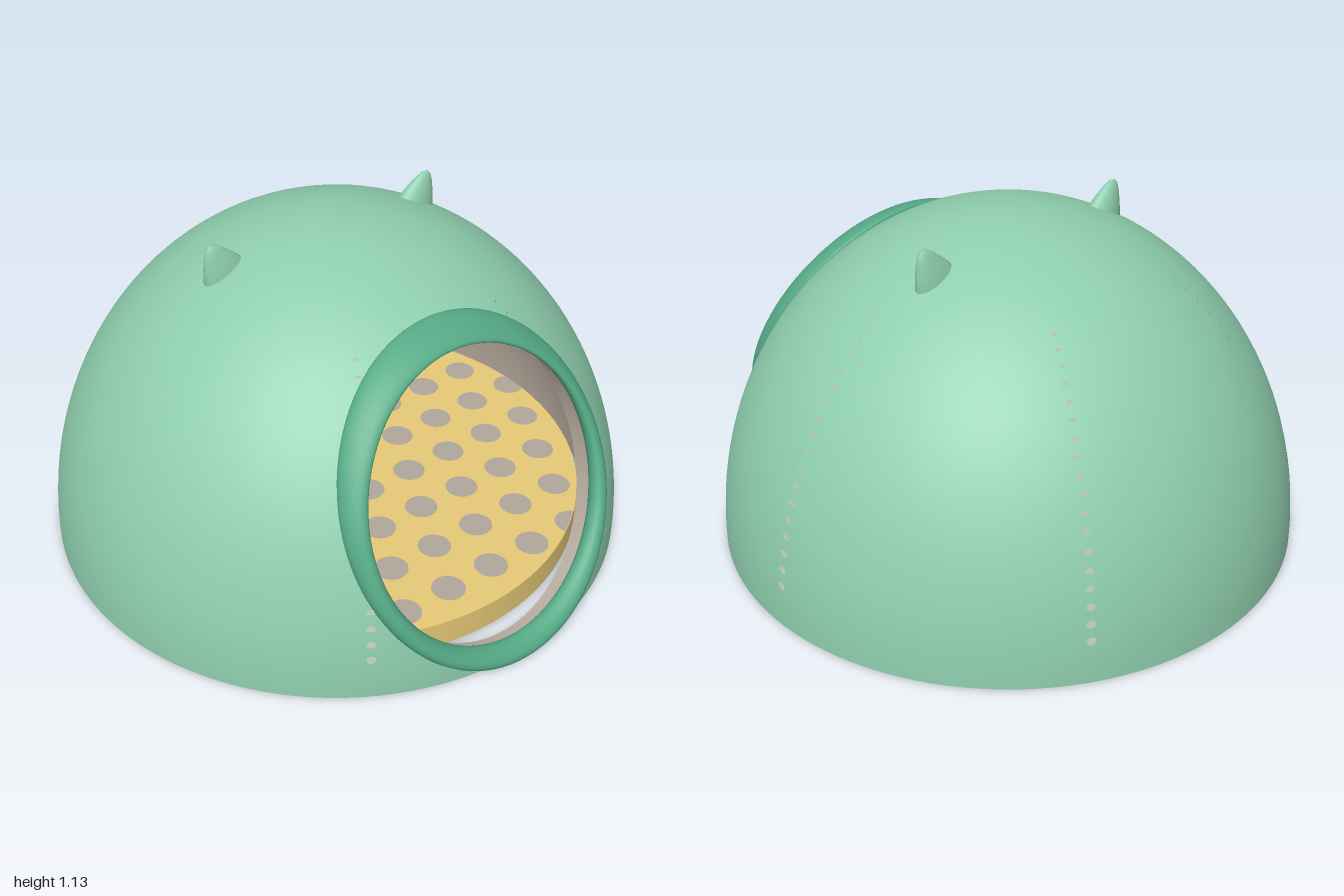
import * as THREE from 'three';

const mat = (name, color) =>
  Object.assign(new THREE.MeshStandardMaterial({ color }), { name });

const CZ = -0.018;                         // dome centre in z
const HOLE_Y = 0.496, HOLE_R = 0.466;      // round doorway
const OUTER = { r: 0.982, h: 1.12 }, INNER = { r: 0.904, h: 1.042 };
const SEG = 160, ROWS = 40;

// Skin between successive closed loops of points
function loft(loops, closed = false) {
  const n = loops[0].length, index = [];
  const last = closed ? loops.length : loops.length - 1;
  for (let i = 0; i < last; i++) {
    const k = (i + 1) % loops.length;
    for (let a = 0; a < n; a++) {
      const b = (a + 1) % n;
      index.push(i * n + a, k * n + a, k * n + b, i * n + a, k * n + b, i * n + b);
    }
  }
  const g = new THREE.BufferGeometry().setFromPoints(loops.flat());
  g.setIndex(index);
  g.computeVertexNormals();
  return g;
}

// Half-ellipsoid point from flattened disc coordinates (apex at 0, base at 1)
function onDome({ r, h }, u, v) {
  const d = Math.min(1, Math.hypot(u, v)), t = d * Math.PI / 2;
  const s = d > 1e-6 ? Math.sin(t) / d : Math.PI / 2;
  return new THREE.Vector3(r * u * s, h * Math.cos(t), CZ + r * v * s);
}

// Loops spreading from the doorway edge to the base edge of a dome
function domeLoops(e) {
  const flatten = (x, y) => {
    const t = Math.acos(y / e.h), sx = x / e.r;
    const sz = Math.sqrt(Math.max(0, Math.sin(t) ** 2 - sx * sx));
    const k = t / (Math.PI / 2) / Math.sin(t);
    return [sx * k, sz * k];
  };
  const [, cv] = flatten(0, HOLE_Y);
  const loops = Array.from({ length: ROWS + 1 }, () => []);
  for (let a = 0; a < SEG; a++) {
    const ang = a / SEG * Math.PI * 2;
    const [u, v] = flatten(HOLE_R * Math.cos(ang), HOLE_Y + HOLE_R * Math.sin(ang));
    const len = Math.hypot(u, v - cv), du = u / len, dv = (v - cv) / len;
    const reach = -cv * dv + Math.sqrt(cv * cv * dv * dv + 1 - cv * cv);
    for (let j = 0; j <= ROWS; j++) {
      const d = len + (reach - len) * j / ROWS;
      loops[j].push(onDome(e, du * d, cv + dv * d));
    }
  }
  return loops;
}

// Padded trim: oval tube on a leaning circle, its section slanting back to hug the dome at the top
function trimLoops() {
  const loops = [], sides = 20;
  for (let i = 0; i < sides; i++) {
    const p = i / sides * Math.PI * 2, dr = 0.031 * Math.sin(p), r = HOLE_R + dr;
    loops.push(Array.from({ length: 96 }, (_, a) => {
      const ang = a / 96 * Math.PI * 2, s = Math.sin(ang);
      return new THREE.Vector3(r * Math.cos(ang), HOLE_Y + r * s,
        0.738 - 0.483 * HOLE_R * s - dr * (0.55 + 1.05 * s) + (0.037 + 0.003 * s) * Math.cos(p));
    }));
  }
  return loops;
}

export function createModel() {
  const model = new THREE.Group();
  const green = mat('soft green', 0x8fceae);
  const darkGreen = mat('trim green', 0x55aa86);
  const taupe = mat('taupe lining', 0xb5a99c);
  const sand = mat('sand cushion', 0xeacd7a);
  const grey = mat('grey spots', 0xb0a79c);
  const underGrey = mat('warm grey underside spots', 0xbdb29c);
  const rimGreen = mat('pale green rim', 0xb8d8c8);
  const cream = mat('pale stitching', 0xd2dccb);
  const add = (parent, name, geometry, material) => {
    const m = new THREE.Mesh(geometry, material);
    m.name = name;
    parent.add(m);
    return m;
  };

  // Hollow dome with doorway
  const outer = domeLoops(OUTER), inner = domeLoops(INNER);
  add(model, 'domeShell', loft(outer), green);
  add(model, 'domeLining', loft([...inner].reverse()), taupe);
  add(model, 'baseRim', loft([outer[ROWS], inner[ROWS]]), rimGreen);
  add(model, 'doorwayWall', loft([inner[0], outer[0]]), taupe);
  add(model, 'doorwayTrim', loft(trimLoops(), true), darkGreen);

  // Ears: flattened round-tipped cones leaning outward
  const earProfile = [[0.083, -0.04], [0.075, 0], [0.055, 0.045], [0.034, 0.083], [0.018, 0.106], [0, 0.114]]
    .map(([x, y]) => new THREE.Vector2(x, y));
  for (const side of [1, -1]) {
    const ear = add(model, side > 0 ? 'leftEar' : 'rightEar', new THREE.LatheGeometry(earProfile, 32), green);
    ear.position.set(side * 0.381, 1.02, -0.086);
    ear.rotation.z = -side * 0.42;
    ear.scale.z = 0.55;
  }

  // Cushion with staggered spots on both faces
  const R = 0.85, LOW = 0.022, HIGH = 0.115;
  const cushion = new THREE.Group();
  cushion.name = 'cushion';
  cushion.position.z = CZ;
  model.add(cushion);
  add(cushion, 'cushionBody', new THREE.CylinderGeometry(R, R, HIGH - LOW, 96), sand)
    .position.y = (HIGH + LOW) / 2;
  for (let row = -5; row <= 4; row++) {
    for (let col = -5; col <= 5; col++) {
      const x = 0.008 + (col + (row % 2 ? 0 : 0.5)) * 0.18, z = row * 0.18;
      if (Math.hypot(x, z) > R + 0.02) continue;
      // spots are trimmed at the cushion edge
      const pts = Array.from({ length: 20 }, (_, i) => {
        const a = i / 20 * Math.PI * 2;
        return new THREE.Vector2(x + 0.056 * Math.cos(a), 0.056 * Math.sin(a) - z).clampLength(0, R - 0.002);
      });
      const top = add(cushion, 'topSpot', new THREE.ShapeGeometry(new THREE.Shape(pts)), grey);
      top.rotation.x = -Math.PI / 2;
      top.position.y = HIGH + 0.003;
      const under = add(cushion, 'underSpot', top.geometry, underGrey);
      under.rotation.x = Math.PI / 2;
      under.position.y = LOW - 0.003;
    }
  }

  // Dotted seams up the dome: upright discs half sunk into the slope
  const dot = new THREE.CircleGeometry(0.015, 12);
  for (const degrees of [-30, 30, 90, 150, 210]) {
    const az = degrees * Math.PI / 180;
    for (let i = 0; i < 18; i++) {
      const t = 0.915 - i * 0.0321;
      const p = onDome(OUTER, Math.sin(az) * t, Math.cos(az) * t);
      if (p.z > 0 && Math.hypot(p.x, p.y - HOLE_Y) < HOLE_R + 0.02) continue;
      const stitch = add(model, 'seamDot', dot, cream);
      stitch.position.set(p.x + 0.002 * Math.sin(az), p.y, p.z + 0.002 * Math.cos(az));
      stitch.rotation.y = az;
      stitch.scale.setScalar(1 - 0.4 * i / 17);
    }
  }
  return model;
}
